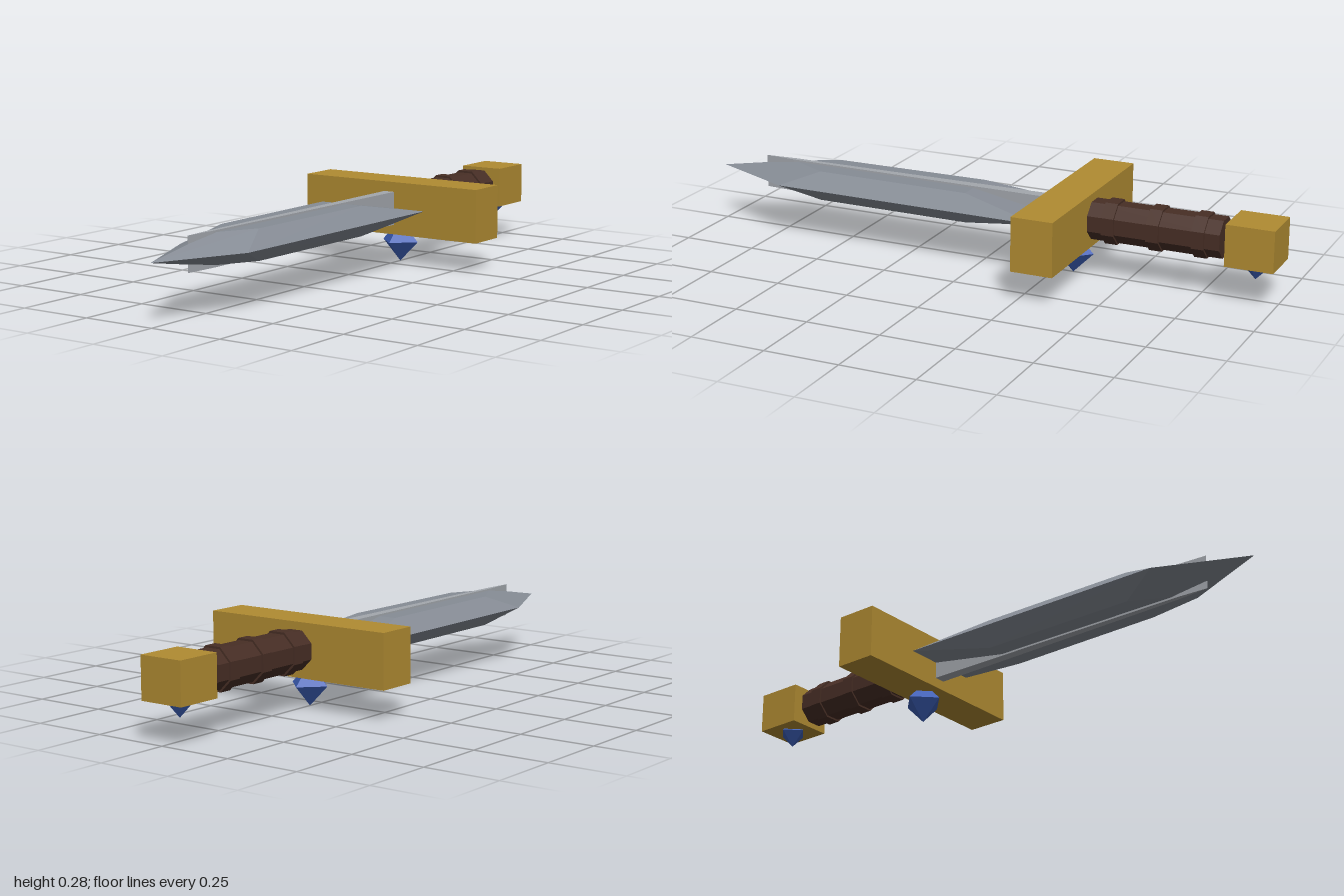
import * as THREE from 'three';
import { ConvexGeometry } from 'three/addons/geometries/ConvexGeometry.js';

const AXIS_Y = 0.192; // height of the long axis

export function createModel() {
  const group = new THREE.Group();
  const paint = (name, color) => {
    const m = new THREE.MeshStandardMaterial({ color });
    m.name = name;
    return m;
  };
  const steel = paint('steel', 0x868c95);
  const paleSteel = paint('pale steel', 0xa3a7ad);
  const gold = paint('gold', 0xb08b32);
  const leather = paint('dark leather', 0x472e25);
  const blue = paint('blue gem', 0x3b5db5);

  const add = (name, geometry, material, x = 0, y = 0, z = 0) => {
    const mesh = new THREE.Mesh(geometry, material);
    mesh.name = name;
    mesh.position.set(x, y, z);
    group.add(mesh);
    return mesh;
  };

  // Blade: sharp outline at mid height, raised flats above and below
  const points = [new THREE.Vector3(0, 0, 1)];
  for (const sx of [-1, 1]) {
    points.push(new THREE.Vector3(sx * 0.138, 0, -0.24), new THREE.Vector3(sx * 0.13, 0, 0.71));
    for (const y of [-0.05, 0.05]) {
      points.push(new THREE.Vector3(sx * 0.078, y, 0.04), new THREE.Vector3(sx * 0.072, y, 0.58));
    }
  }
  points.push(new THREE.Vector3(0, 0.05, 0.72), new THREE.Vector3(0, -0.05, 0.72));
  add('blade', new ConvexGeometry(points), steel, 0, 0.191, 0);

  // Central rib: narrow tapering strip standing through the blade
  const outline = new THREE.Shape([[-0.02, -0.26], [0.02, -0.26], [0.008, 0.72], [0, 0.83], [-0.008, 0.72]]
    .map(([x, z]) => new THREE.Vector2(x, z)));
  const rib = new THREE.ExtrudeGeometry(outline, { depth: 0.112, bevelEnabled: false });
  rib.rotateX(Math.PI / 2);
  add('bladeRib', rib, paleSteel, 0, 0.247, 0);

  // Cross guard and pommel
  add('crossGuard', new THREE.BoxGeometry(0.68, 0.178, 0.14), gold, 0, 0.191, -0.31);
  add('pommel', new THREE.BoxGeometry(0.154, 0.137, 0.158), gold, 0, 0.193, -0.921);

  // Eight-sided grip with three raised bands
  const octagon = (radius, length) => new THREE.CylinderGeometry(radius, radius, length, 8)
    .rotateY(Math.PI / 8).rotateX(Math.PI / 2).toNonIndexed();
  const faceted = (geometry) => { geometry.computeVertexNormals(); return geometry; };
  add('grip', faceted(octagon(0.067, 0.45)), leather, 0, AXIS_Y, -0.595);
  for (const z of [-0.45, -0.6, -0.75]) {
    add('gripBand', faceted(octagon(0.074, 0.042)), leather, 0, AXIS_Y, z);
  }

  // Gems set into the undersides
  add('guardGem', new THREE.OctahedronGeometry(0.07), blue, 0, 0.07, -0.31);
  add('pommelGem', new THREE.OctahedronGeometry(0.05), blue, 0, 0.12, -0.921);

  return group;
}
